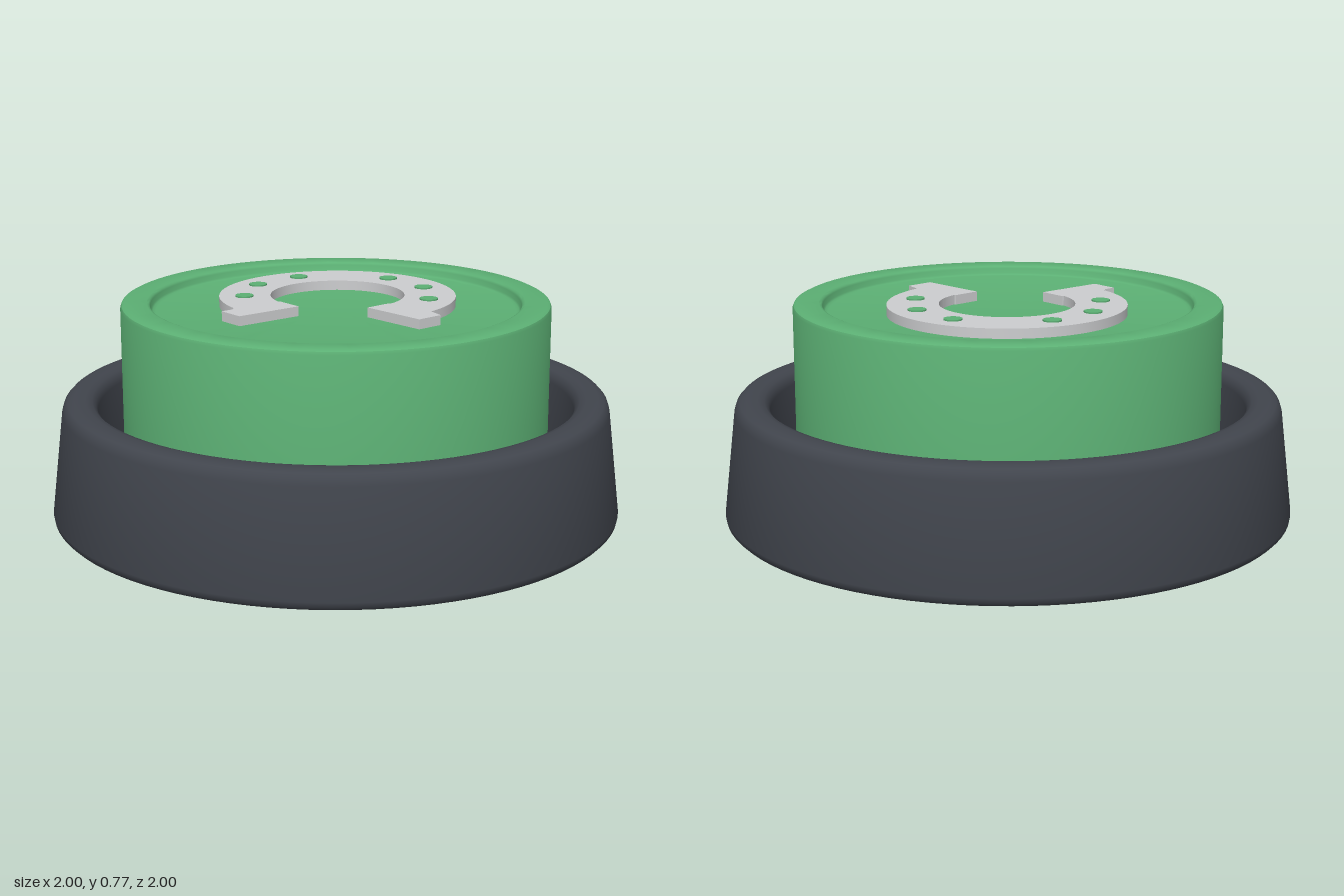
import * as THREE from 'three';
import { toCreasedNormals } from 'three/addons/utils/BufferGeometryUtils.js';

const mat = (name, color) => {
  const m = new THREE.MeshStandardMaterial({ color });
  m.name = name;
  return m;
};

export function createModel() {
  const model = new THREE.Group();
  model.name = 'pushButton';

  const charcoal = mat('charcoal', 0x41454d);
  const green = mat('green', 0x5cb074);
  const paleGreen = mat('paleGreen', 0xc6e2cf);
  const silver = mat('silver', 0xcdced0);

  const add = (name, geometry, material) => {
    const mesh = new THREE.Mesh(geometry, material);
    mesh.name = name;
    model.add(mesh);
    return mesh;
  };

  // Revolved part from [radius, height] pairs
  const turned = (name, profile, material) => {
    const pts = profile.map(([r, y]) => new THREE.Vector2(r, y));
    return add(name, toCreasedNormals(new THREE.LatheGeometry(pts, 96), 0.7), material);
  };

  // Tapered housing with a rounded lip and an open well
  turned('housing', [
    [0, 0], [0.965, 0], [0.985, 0.006], [0.997, 0.018], [1, 0.035],
    [0.957, 0.395], [0.95, 0.417], [0.937, 0.431], [0.915, 0.437],
    [0.875, 0.437], [0.853, 0.431], [0.839, 0.416], [0.833, 0.395],
    [0.833, 0.09], [0, 0.09],
  ], charcoal);

  // Pale ring at the bottom of the well, sloping gently inward
  turned('glowRing', [[0.833, 0.125], [0.79, 0.112], [0.74, 0.108]], paleGreen);

  // Plunger with a shallow dished top
  turned('plunger', [
    [0, 0.095], [0.746, 0.095], [0.746, 0.753], [0.742, 0.763], [0.732, 0.768],
    [0.655, 0.768], [0.647, 0.765], [0.643, 0.758], [0.64, 0.742],
    [0.635, 0.736], [0.625, 0.734], [0, 0.734],
  ], green);

  // Horseshoe emblem: arc band with squared heels
  const cy = 0.07;
  const shape = new THREE.Shape();
  shape.moveTo(0.337, -0.195);
  shape.absarc(0, cy, 0.415, -0.63, Math.PI + 0.63, false);
  shape.lineTo(-0.337, -0.195);
  shape.lineTo(-0.369, -0.227);
  shape.lineTo(-0.3, -0.297);
  shape.lineTo(-0.118, -0.131);
  shape.lineTo(-0.187, -0.061);
  shape.absarc(0, cy, 0.235, Math.PI + 0.611, -0.611, true);
  shape.lineTo(0.187, -0.061);
  shape.lineTo(0.118, -0.131);
  shape.lineTo(0.3, -0.297);
  shape.lineTo(0.369, -0.227);
  shape.closePath();
  const shoe = new THREE.ExtrudeGeometry(shape, { depth: 0.04, bevelEnabled: false, curveSegments: 48 });
  shoe.rotateX(-Math.PI / 2);
  add('horseshoe', toCreasedNormals(shoe, 0.5), silver).position.y = 0.728;

  // Nail heads, mirrored on both arms
  const nail = new THREE.CylinderGeometry(0.032, 0.032, 0.042, 24);
  for (const side of [-1, 1]) {
    for (const [x, z] of [[0.164, -0.354], [0.297, -0.208], [0.322, -0.014]]) {
      add('nailHead', nail, green).position.set(side * x, 0.752, z);
    }
  }

  return model;
}
